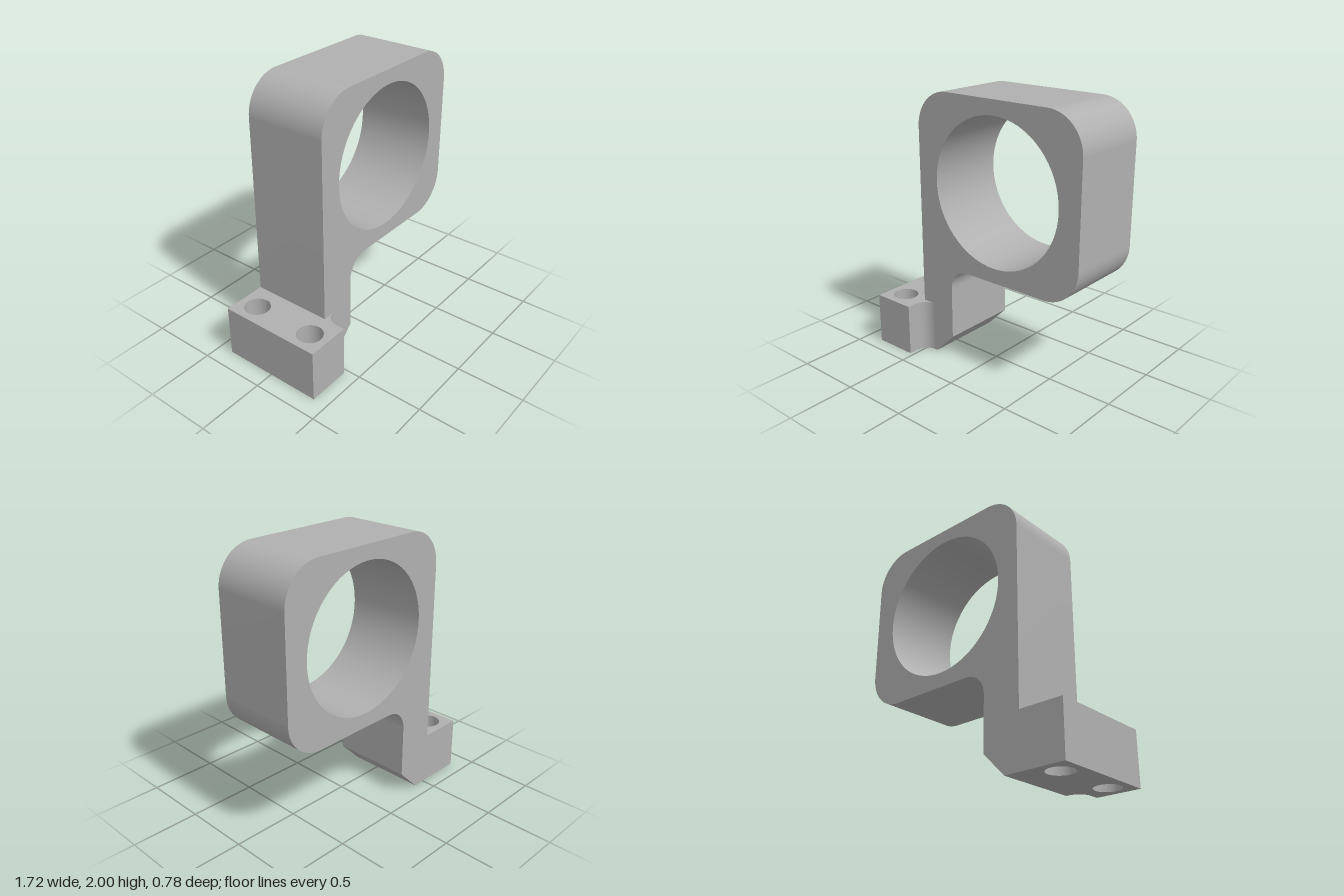
import * as THREE from 'three';
import { toCreasedNormals } from 'three/addons/utils/BufferGeometryUtils.js';

const HALF_PI = Math.PI / 2;

// Extrude a flat shape, rounding the curved walls and keeping corners sharp
function extrude(shape, depth) {
  const geometry = new THREE.ExtrudeGeometry(shape, { depth, bevelEnabled: false, curveSegments: 32 });
  return toCreasedNormals(geometry, 0.4);
}

function addHole(shape, x, y, radius) {
  shape.holes.push(new THREE.Path().absarc(x, y, radius, 0, Math.PI * 2, true));
}

export function createModel() {
  const model = new THREE.Group();
  model.name = 'ringBracket';
  const grey = new THREE.MeshStandardMaterial({ color: 0xb0b0b0 });
  grey.name = 'grey';

  const left = -0.53, right = 0.86, top = 2, ringBottom = 0.727;
  const back = -0.39, front = 0.22, corner = 0.27;

  // Rounded square ring with its leg, drawn counter-clockwise from the leg's foot
  const profile = new THREE.Shape();
  profile.moveTo(left, 0);
  profile.lineTo(-0.41, 0);
  profile.lineTo(-0.242, 0.17);
  profile.absarc(-0.082, ringBottom - 0.16, 0.16, Math.PI, HALF_PI, true);
  profile.absarc(right - corner, ringBottom + corner, corner, -HALF_PI, 0, false);
  profile.absarc(right - corner, top - corner, corner, 0, HALF_PI, false);
  profile.absarc(left + corner, top - corner, corner, HALF_PI, Math.PI, false);
  profile.closePath();
  addHole(profile, 0.165, 1.365, 0.53);

  const body = new THREE.Mesh(extrude(profile, front - back), grey);
  body.name = 'ringAndLeg';
  body.position.z = back;
  model.add(body);

  // Mounting foot in plan (shape y is -z), with a fillet against the leg's front
  const r = 0.1;
  const plan = new THREE.Shape();
  plan.moveTo(-0.86, -0.39);
  plan.lineTo(left, -0.39);
  plan.absarc(left + r, -front - r, r, Math.PI, HALF_PI, true);
  plan.lineTo(left, -front);
  plan.lineTo(left, -back);
  plan.lineTo(-0.86, -back);
  plan.closePath();
  for (const z of [-0.243, 0.243]) addHole(plan, -0.714, -z, 0.094);

  const foot = new THREE.Mesh(extrude(plan, 0.39), grey);
  foot.name = 'mountingFoot';
  foot.rotation.x = -HALF_PI;
  model.add(foot);

  return model;
}
